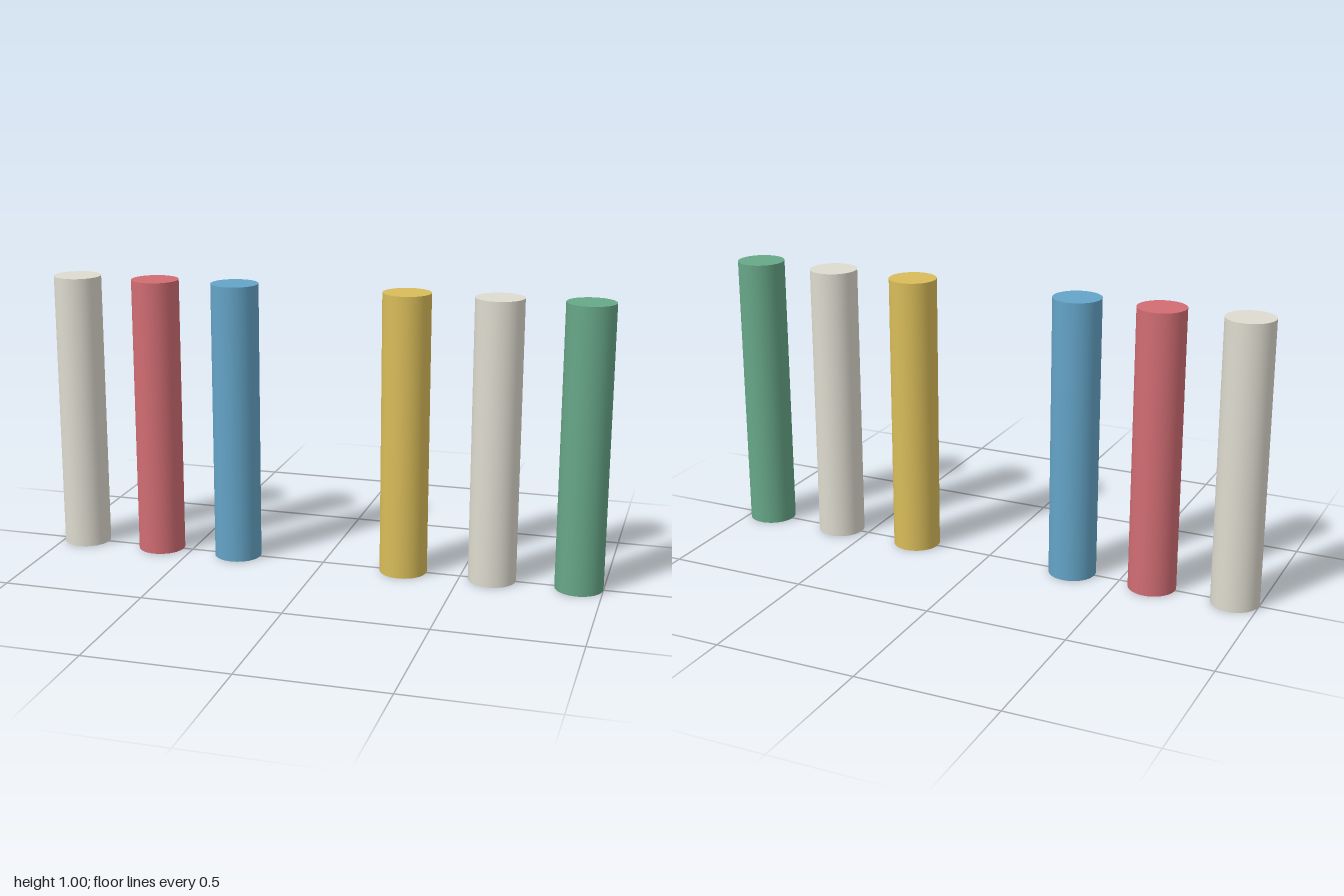
import * as THREE from 'three';

const RADIUS = 0.084;
const HEIGHT = 1;

function paint(name, color) {
  const material = new THREE.MeshStandardMaterial({ color });
  material.name = name;
  return material;
}

export function createModel() {
  const model = new THREE.Group();
  model.name = 'colouredPillars';

  const ivory = paint('ivory', 0xdedbcf);
  const red = paint('red', 0xd16d73);
  const blue = paint('blue', 0x64a4c7);
  const yellow = paint('yellow', 0xd9bc5a);
  const green = paint('green', 0x67a787);

  // One smooth capped cylinder shared by every pillar
  const pillar = new THREE.CylinderGeometry(RADIUS, RADIUS, HEIGHT, 48);

  // Two groups of three, from the model's right to its left
  const pillars = [
    ['outerIvoryPillar', -0.916, ivory],
    ['redPillar', -0.619, red],
    ['bluePillar', -0.322, blue],
    ['yellowPillar', 0.295, yellow],
    ['innerIvoryPillar', 0.613, ivory],
    ['greenPillar', 0.916, green],
  ];
  for (const [name, x, material] of pillars) {
    const mesh = new THREE.Mesh(pillar, material);
    mesh.name = name;
    mesh.position.set(x, HEIGHT / 2, 0);
    model.add(mesh);
  }
  return model;
}
